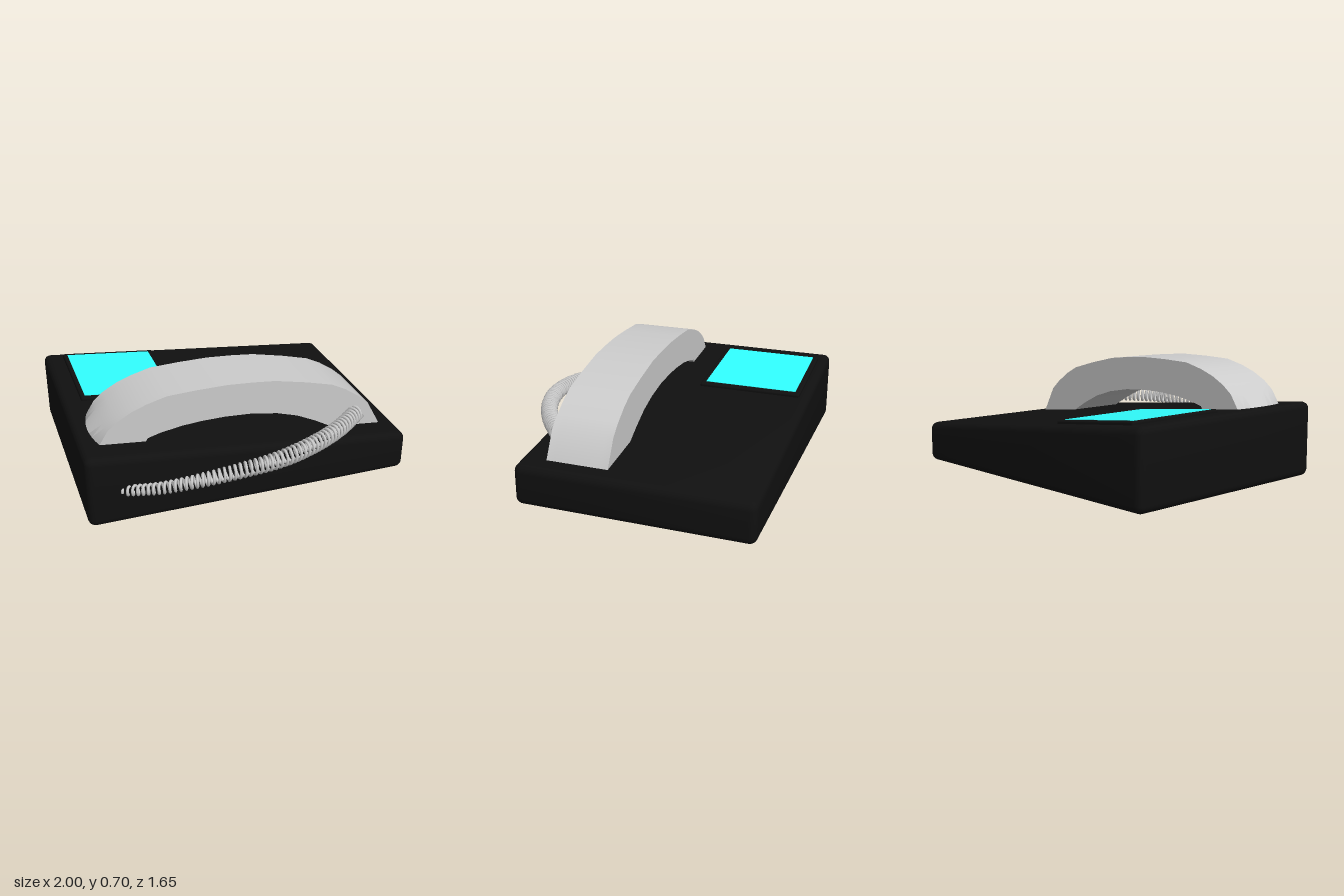
import * as THREE from 'three';
import { RoundedBoxGeometry } from 'three/addons/geometries/RoundedBoxGeometry.js';
import { toCreasedNormals } from 'three/addons/utils/BufferGeometryUtils.js';

const SLOPE = -0.104; // fall of the top face from left to right
const topAt = (x) => 0.352 + SLOPE * x;

export function createModel() {
  const model = new THREE.Group();
  const black = new THREE.MeshStandardMaterial({ color: 0x101010 });
  const grey = new THREE.MeshStandardMaterial({ color: 0xcccccc });
  const cyan = new THREE.MeshStandardMaterial({ color: 0x31ffff });

  const add = (name, geometry, material) => {
    const mesh = new THREE.Mesh(geometry, material);
    mesh.name = name;
    model.add(mesh);
    return mesh;
  };

  // Wedge-shaped base: a rounded box whose upper half is sheared to the slope
  const body = new RoundedBoxGeometry(2, 0.352, 1.43, 4, 0.045);
  body.translate(0, 0.176, -0.115);
  const bp = body.attributes.position;
  for (let i = 0; i < bp.count; i++) {
    if (bp.getY(i) > 0.176) bp.setY(i, bp.getY(i) + SLOPE * bp.getX(i));
  }
  body.computeVertexNormals();
  add('base', toCreasedNormals(body, 0.6), black);

  // Raised screen surround and the screen, both lying on the slope
  const tilt = Math.atan(SLOPE);
  const surround = add('screenSurround', new RoundedBoxGeometry(0.62, 0.06, 0.66, 2, 0.012), black);
  surround.position.set(-0.572, topAt(-0.572) + 0.02 - 0.03, -0.437);
  surround.rotation.z = tilt;
  const screen = add('screen', new THREE.BoxGeometry(0.558, 0.02, 0.597), cyan);
  screen.position.set(-0.575, topAt(-0.575) + 0.0125, -0.437);
  screen.rotation.z = tilt;

  // Handset: arched profile extruded across its width
  const outer = [
    [0.9, 0.235], [0.895, 0.25], [0.8, 0.42], [0.73, 0.48], [0.64, 0.54], [0.55, 0.585],
    [0.38, 0.63], [0.18, 0.673], [0.04, 0.687], [-0.12, 0.697], [-0.3, 0.695], [-0.48, 0.687],
    [-0.6, 0.655], [-0.69, 0.62], [-0.77, 0.575], [-0.83, 0.525], [-0.88, 0.445], [-0.885, 0.425],
  ];
  const inner = [
    [-0.62, 0.405], [-0.6, 0.435], [-0.53, 0.455], [-0.4, 0.478], [-0.27, 0.488], [-0.13, 0.49],
    [0.04, 0.48], [0.2, 0.452], [0.33, 0.412], [0.45, 0.355], [0.53, 0.31], [0.58, 0.28],
  ];
  const profile = new THREE.Shape([...outer, ...inner].map(([x, y]) => new THREE.Vector2(x, y)));
  const handset = new THREE.ExtrudeGeometry(profile, { depth: 0.38, steps: 8, bevelEnabled: false });
  handset.translate(0, 0, 0.055);
  // Left end bulges outward toward the middle of its width
  const hp = handset.attributes.position;
  for (let i = 0; i < hp.count; i++) {
    const x = hp.getX(i);
    if (x > -0.82) continue;
    const t = (hp.getZ(i) - 0.245) / 0.19;
    hp.setX(i, x - 0.036 * (1 - t * t) * Math.min(1, (-0.82 - x) / 0.06));
  }
  add('handset', toCreasedNormals(handset, 0.5), grey);

  // Coiled cord: a helix wound around a sagging path
  const path = new THREE.CatmullRomCurve3([
    [-0.79, 0.21, 0.585], [-0.6, 0.255, 0.69], [-0.4, 0.297, 0.75], [-0.15, 0.332, 0.777],
    [0.1, 0.35, 0.762], [0.35, 0.362, 0.685], [0.55, 0.364, 0.575], [0.73, 0.364, 0.435],
  ].map((p) => new THREE.Vector3(...p)));
  const coils = 54;
  const up = new THREE.Vector3(0, 1, 0);
  const helix = new THREE.Curve();
  helix.getPoint = (t, target = new THREE.Vector3()) => {
    const tangent = path.getTangentAt(t);
    const side = new THREE.Vector3().crossVectors(tangent, up).normalize();
    const lift = new THREE.Vector3().crossVectors(side, tangent);
    const radius = 0.026 + 0.022 * Math.min(1, t * 1.6);
    const a = t * coils * Math.PI * 2;
    return target.copy(path.getPointAt(t))
      .addScaledVector(side, Math.cos(a) * radius * 0.9)
      .addScaledVector(lift, Math.sin(a) * radius);
  };
  helix.arcLengthDivisions = coils * 16;
  add('coiledCord', new THREE.TubeGeometry(helix, coils * 16, 0.009, 6, false), grey);

  return model;
}
